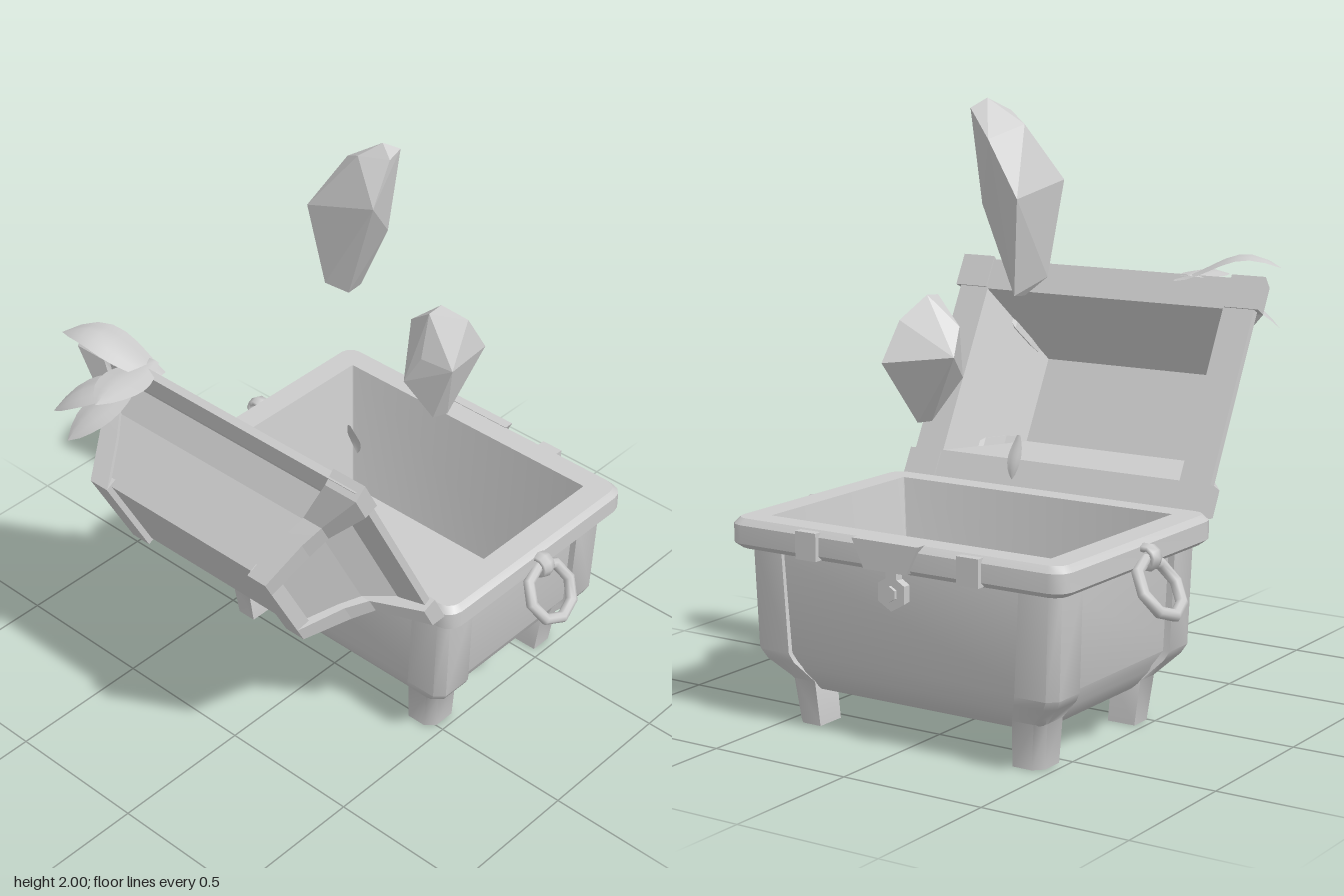
import * as THREE from 'three';
import { toCreasedNormals } from 'three/addons/utils/BufferGeometryUtils.js';
import { ConvexGeometry } from 'three/addons/geometries/ConvexGeometry.js';

const V = (x, y, z) => new THREE.Vector3(x, y, z);
const grey = new THREE.MeshStandardMaterial({ color: 0xcccccc });
const flat = new THREE.MeshStandardMaterial({ color: 0xcccccc, flatShading: true });
const thin = new THREE.MeshStandardMaterial({ color: 0xcccccc, side: THREE.DoubleSide });
const CZ = -0.306; // middle of the chest in z

function add(parent, name, geometry, material = grey, x = 0, y = 0, z = 0) {
  const mesh = new THREE.Mesh(geometry, material);
  mesh.name = name;
  mesh.position.set(x, y, z);
  parent.add(mesh);
  return mesh;
}

// Closed solid through loops of equal length, always facing outward
function loft(loops, crease = 0.6) {
  const tris = [], n = loops[0].length, last = loops[loops.length - 1];
  for (let k = 0; k + 1 < loops.length; k++) {
    const a = loops[k], b = loops[k + 1];
    for (let i = 0; i < n; i++) {
      const j = (i + 1) % n;
      tris.push([a[i], a[j], b[j]], [a[i], b[j], b[i]]);
    }
  }
  for (let i = 1; i + 1 < n; i++) {
    tris.push([loops[0][0], loops[0][i + 1], loops[0][i]], [last[0], last[i], last[i + 1]]);
  }
  let volume = 0;
  for (const [a, b, c] of tris) volume += a.dot(b.clone().cross(c));
  if (volume < 0) tris.forEach((t) => t.reverse());
  const geometry = new THREE.BufferGeometry().setFromPoints(tris.flat());
  return toCreasedNormals(geometry, crease);
}

// Rounded rectangle loop at height y
function roundedLoop(hx, hz, r, y, cz = CZ) {
  const loop = [];
  [[1, 1], [-1, 1], [-1, -1], [1, -1]].forEach(([sx, sz], q) => {
    for (let i = 0; i < 4; i++) {
      const a = (q + i / 3) * Math.PI / 2;
      loop.push(V(sx * (hx - r) + r * Math.cos(a), y, cz + sz * (hz - r) + r * Math.sin(a)));
    }
  });
  return loop;
}

// Leaf from base to tip, arched upward and slightly folded
function leaf(base, tip, width, arch) {
  const geometry = new THREE.PlaneGeometry(1, 1, 4, 8), p = geometry.attributes.position;
  const dir = tip.clone().sub(base).normalize();
  const side = dir.clone().cross(V(0, 1, 0)).normalize();
  const up = side.clone().cross(dir);
  for (let i = 0; i < p.count; i++) {
    const s = p.getX(i), t = p.getY(i) + 0.5;
    const w = width * Math.max(0, Math.sin(Math.PI * (0.06 + 0.94 * t ** 1.15))) ** 0.8;
    const v = base.clone().lerp(tip, t)
      .addScaledVector(side, s * w)
      .addScaledVector(up, arch * Math.sin(Math.PI * t ** 1.6) - Math.abs(s) * w * 0.2);
    p.setXYZ(i, v.x, v.y, v.z);
  }
  geometry.computeVertexNormals();
  return geometry;
}

function buildBody(chest) {
  // Outer wall, rim and hollow interior in one shell
  const rimZ = -0.314;
  const shell = [
    [0.455, 0.318, 0.03, 0.12], [0.478, 0.338, 0.03, 0.14], [0.512, 0.37, 0.03, 0.185],
    [0.515, 0.373, 0.02, 0.2], [0.548, 0.396, 0.02, 0.25], [0.562, 0.406, 0.02, 0.58],
    [0.61, 0.435, 0.045, 0.582, rimZ], [0.633, 0.456, 0.055, 0.6, rimZ],
    [0.633, 0.456, 0.055, 0.66, rimZ], [0.615, 0.438, 0.045, 0.68, rimZ],
    [0.53, 0.358, 0.004, 0.68, rimZ], [0.465, 0.29, 0.004, 0.2, rimZ],
  ].map((s) => roundedLoop(...s));
  add(chest, 'body', loft(shell));

  // L-shaped corner posts running down into feet: outer x, z, inner x, z, wall x, z, height
  const post = [
    [0.585, 0.42, 0.45, 0.275, 0.545, 0.385, 0.6], [0.572, 0.414, 0.43, 0.27, 0.52, 0.365, 0.25],
    [0.555, 0.402, 0.42, 0.262, 0.49, 0.335, 0.22], [0.487, 0.348, 0.378, 0.232, 0.38, 0.234, 0.15],
    [0.47, 0.333, 0.37, 0.225, 0.371, 0.226, 0],
  ];
  for (const sx of [-1, 1]) for (const sz of [-1, 1]) {
    const c = 0.03;
    add(chest, 'cornerPost', loft(post.map(([x, z, ix, iz, wx, wz, y]) =>
      [[wx, wz], [wx, iz], [x, iz], [x, z - c], [x - c, z], [ix, z], [ix, wz]]
        .map(([a, b]) => V(sx * a, y, CZ + sz * b))), 0.8));
  }
}

function buildLid(chest) {
  // Local frame: y is the lid's height, -z runs from hinge to free edge
  const lid = new THREE.Group();
  lid.name = 'lid';
  lid.position.set(0, 0.65, 0.14);
  lid.rotation.x = Math.atan2(0.887, -0.461);
  chest.add(lid);
  const rect = (x0, x1, u0, u1, h) => [V(x0, h, -u0), V(x1, h, -u0), V(x1, h, -u1), V(x0, h, -u1)];

  // Hollow shell from the inner ceiling, over the thin lip, to the outer top
  add(lid, 'lidShell', loft([
    [0.33, 0.26, 0.57, 0.28], [0.47, 0.12, 0.72, 0], [0.585, 0.005, 0.83, 0], [0.585, 0.005, 0.83, 0.025],
    [0.495, 0.085, 0.75, 0.045], [0.485, 0.105, 0.735, 0.045], [0.44, 0.165, 0.675, 0.13], [0.36, 0.25, 0.59, 0.33],
  ].map(([x, u0, u1, h]) => rect(-x, x, u0, u1, h)), 0.1));

  for (const s of [-1, 1]) {
    // Flared hip bands ending in corner caps, at the hinge end and the free end
    const hip = [
      [0.602, 0.475, 0, 0.115, -0.006], [0.598, 0.475, 0.02, 0.115, 0.045], [0.475, 0.4, 0.15, 0.215, 0.13],
      [0.44, 0.365, 0.178, 0.25, 0.2], [0.385, 0.31, 0.24, 0.3, 0.35],
    ];
    for (const far of [false, true]) {
      const u = (v) => (far ? 0.84 - v : v);
      add(lid, 'hipBand', loft(hip.map(([x0, x1, u0, u1, h]) => rect(s * x0, s * x1, u(u0), u(u1), h)), 0.1));
    }
    add(lid, 'topBand', new THREE.BoxGeometry(0.075, 0.05, 0.36), grey, s * 0.3475, 0.325, -0.42);
  }
}

function buildFittings(chest) {
  for (const s of [-1, 1]) {
    // Hanging ring handle
    const ring = add(chest, 'ringHandle', new THREE.TorusGeometry(0.097, 0.02, 8, 8), grey, s * 0.69, 0.535, -0.305);
    ring.rotation.set(0, Math.PI / 2, 0);
    ring.rotateOnWorldAxis(V(0, 0, 1), s * 0.6);
    const mount = add(chest, 'handleMount', new THREE.TorusGeometry(0.032, 0.014, 6, 10), grey, s * 0.645, 0.625, -0.305);
    mount.scale.z = 2;
    add(chest, 'rimClasp', new THREE.BoxGeometry(0.08, 0.09, 0.03), grey, s * 0.305, 0.63, -0.77);
  }
  // Lock plate and its hanging six-sided lock
  const plate = new THREE.Shape([[-0.125, 0.682], [-0.08, 0.59], [0.08, 0.59], [0.125, 0.682]]
    .map(([x, y]) => new THREE.Vector2(x, y)));
  add(chest, 'lockPlate', new THREE.ExtrudeGeometry(plate, { depth: 0.035, bevelEnabled: false }), grey, 0, 0, -0.785);
  const lock = new THREE.CylinderGeometry(0.052, 0.057, 0.035, 6).rotateX(Math.PI / 2);
  add(chest, 'lock', lock, flat, 0, 0.515, -0.735);
  const stud = new THREE.CylinderGeometry(0.025, 0.025, 0.015, 6).rotateX(Math.PI / 2);
  add(chest, 'lockStud', stud, flat, 0, 0.515, -0.756);
  add(chest, 'lockHanger', new THREE.BoxGeometry(0.04, 0.06, 0.03), grey, 0, 0.575, -0.738);
}

export function createModel() {
  const chest = new THREE.Group();
  chest.name = 'chest';
  buildBody(chest);
  buildLid(chest);
  buildFittings(chest);

  // Floating faceted crystals
  const crystals = {
    tallCrystal: [
      [0, 2, -0.22], [0.03, 1.97, -0.27], [0.03, 1.95, -0.22], [-0.05, 1.96, -0.16], [-0.12, 1.92, -0.19],
      [-0.08, 1.88, -0.335], [-0.21, 1.745, -0.1], [-0.19, 1.7, -0.34], [0.025, 1.8, -0.15],
      [0, 1.67, -0.25], [-0.14, 1.385, -0.22], [-0.14, 1.39, -0.28], [-0.18, 1.44, -0.15],
    ],
    shortCrystal: [
      [0.2, 1.18, -0.52], [0.235, 1.2, -0.31], [0.07, 1.11, -0.26], [0, 1.2, -0.41], [0.02, 1.29, -0.35],
      [0.13, 1.385, -0.37], [0.13, 1.38, -0.31], [0.18, 1.31, -0.45], [0.17, 0.97, -0.37], [0.15, 0.97, -0.32],
      [0.13, 1.22, -0.275],
    ],
  };
  for (const [name, points] of Object.entries(crystals)) {
    add(chest, name, new ConvexGeometry(points.map((p) => V(...p))), flat);
  }

  // Leaf cluster on the lid's corner, and one small falling leaf
  const leaves = [
    [V(-0.27, 1.37, 0.5), V(-0.62, 1.42, 0.6), 0.16, 0.06],
    [V(-0.33, 1.39, 0.48), V(-0.31, 1.365, 0.75), 0.16, 0.02],
    [V(-0.32, 1.37, 0.53), V(-0.56, 1.2, 0.71), 0.16, 0.03],
    [V(-0.33, 1.36, 0.55), V(-0.42, 1.19, 0.78), 0.15, 0.02],
    [V(-0.07, 0.92, -0.15), V(-0.07, 0.78, -0.19), 0.05, 0.01],
  ];
  for (const args of leaves) add(chest, 'leaf', leaf(...args), thin);
  return chest;
}
